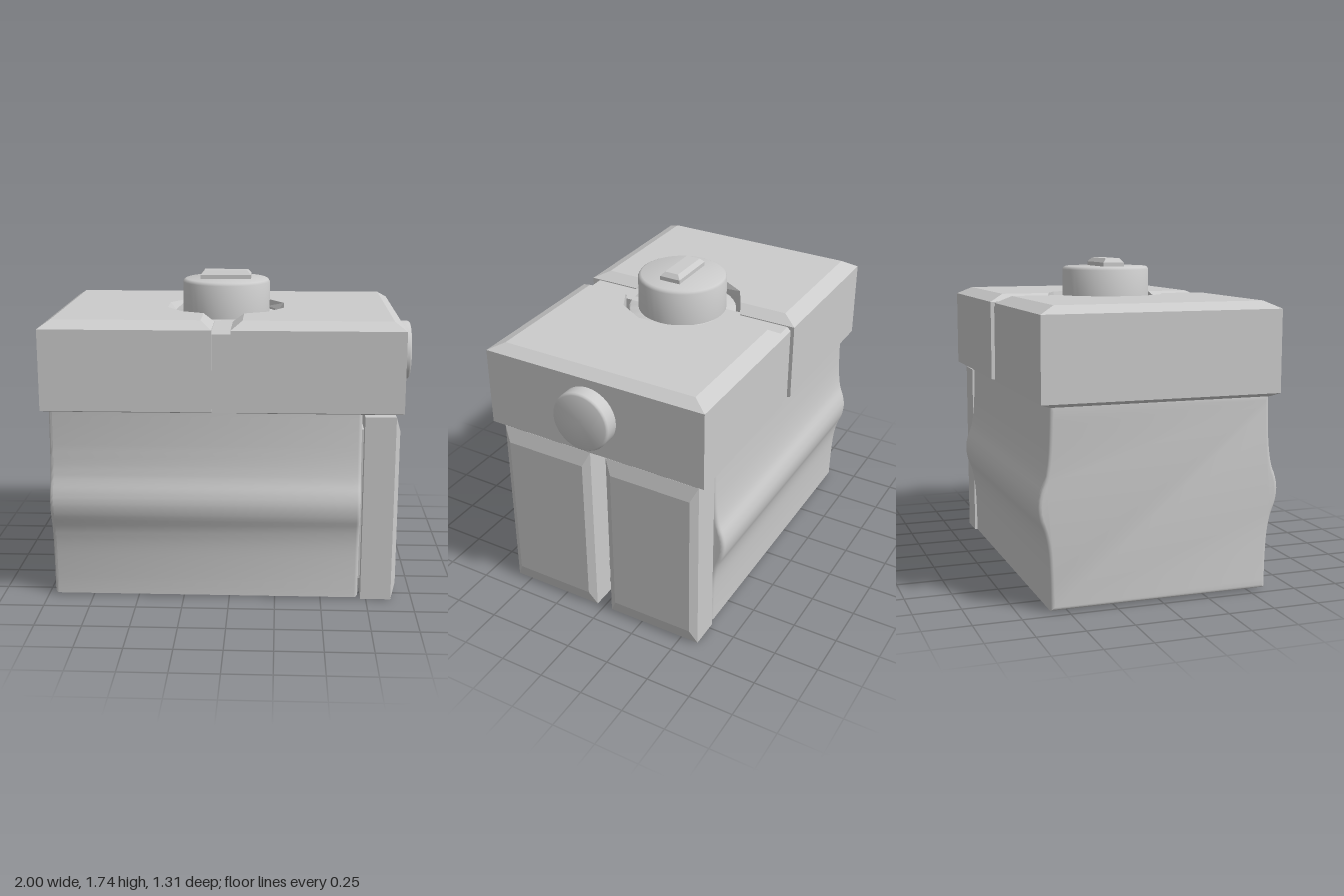
import * as THREE from 'three';
import { toCreasedNormals } from 'three/addons/utils/BufferGeometryUtils.js';

const grey = new THREE.MeshStandardMaterial({ color: 0xcccccc });
const CX = -0.04, CZ = 0.015; // axis of the top knob

// Solid through stacked outlines: rings of [x, z] points, one height per ring
function loft(rings, heights) {
  const toV = (r) => r.map(([x, z]) => new THREE.Vector2(x, -z));
  if (THREE.ShapeUtils.isClockWise(toV(rings[0]))) rings = rings.map((r) => [...r].reverse());
  const n = rings[0].length, last = rings.length - 1;
  const pos = [], idx = [];
  rings.forEach((r, k) => r.forEach(([x, z]) => pos.push(x, heights[k], z)));
  for (let k = 0; k < last; k++) {
    for (let i = 0; i < n; i++) {
      const j = (i + 1) % n, a = k * n + i, b = k * n + j;
      idx.push(a, b, b + n, a, b + n, a + n);
    }
  }
  for (const [a, b, c] of THREE.ShapeUtils.triangulateShape(toV(rings[0]), [])) idx.push(a, c, b);
  for (const t of THREE.ShapeUtils.triangulateShape(toV(rings[last]), [])) idx.push(...t.map((i) => i + last * n));
  const g = new THREE.BufferGeometry();
  g.setAttribute('position', new THREE.Float32BufferAttribute(pos, 3));
  g.setIndex(idx);
  return toCreasedNormals(g, 0.2);
}

const rect = (x0, x1, z0, z1, dx = 0, dz = dx) => [
  [x0 + dx, z0 + dz], [x1 - dx, z0 + dz], [x1 - dx, z1 - dz], [x0 + dx, z1 - dz],
];

// Round part with a small rim bevel, standing on y = 0
function knob(r, h, bevel) {
  const pts = [[0, 0], [r, 0], [r, h - bevel], [r - bevel * 0.4, h - bevel * 0.3], [r - bevel, h], [0, h]];
  return toCreasedNormals(new THREE.LatheGeometry(pts.map((p) => new THREE.Vector2(...p)), 40), 0.6);
}

// Outline of one lid half: outer edge, slot edge and the recess around the knob
function lidOutline(side, outerX, halfZ, slotX, recess) {
  const near = [[slotX, halfZ], ...recess];
  const far = near.map(([x, z]) => [x, -z]).reverse();
  return [[outerX, halfZ], ...near, ...far, [outerX, -halfZ]].map(([x, z], i, all) => {
    const isEnd = i < 2 || i > all.length - 3;
    return [CX + side * x, z + (isEnd ? -0.0025 : CZ)];
  });
}

export function createModel() {
  const model = new THREE.Group();
  const add = (name, geometry, x = 0, y = 0, z = 0) => {
    const mesh = new THREE.Mesh(geometry, grey);
    mesh.name = name;
    mesh.position.set(x, y, z);
    model.add(mesh);
    return mesh;
  };

  // Main body: bulged cross-section swept along x
  const half = [[0.592, 0.01], [0.595, 0.18], [0.604, 0.32], [0.622, 0.41], [0.647, 0.48], [0.655, 0.55],
    [0.645, 0.61], [0.62, 0.68], [0.604, 0.78], [0.596, 0.92], [0.593, 1.06]];
  const curve = new THREE.CatmullRomCurve3(half.map(([z, y]) => new THREE.Vector3(z, y, 0)));
  const side = curve.getPoints(36).map((p) => new THREE.Vector2(p.x, p.y));
  const mirrored = side.map((p) => new THREE.Vector2(-p.x, p.y)).reverse();
  const bodyGeometry = new THREE.ExtrudeGeometry(new THREE.Shape([...side, ...mirrored]), {
    depth: 1.63, bevelThickness: 0.02, bevelSize: 0.02, bevelOffset: -0.02, bevelSegments: 3, steps: 1,
  });
  bodyGeometry.rotateY(Math.PI / 2);
  add('body', toCreasedNormals(bodyGeometry, 0.6), -0.945, 0, 0);

  // Two chamfered pads on the end of the body
  for (const [z0, z1] of [[0.045, 0.59], [-0.6, -0.05]]) {
    const pad = loft([rect(-1.03, 0, z0, z1), rect(-1.03, 0, z0, z1), rect(-1.03, 0, z0, z1, 0.085, 0.04)],
      [0.72, 0.885, 0.91]);
    add('endPad', pad.rotateZ(-Math.PI / 2));
  }
  // Small links between the pads and the body
  add('padLink', new THREE.BoxGeometry(0.06, 0.04, 0.2), 0.72, 0.2, 0);
  add('padLink', new THREE.BoxGeometry(0.06, 0.03, 0.2), 0.72, 0.075, 0);
  for (const z of [0.32, -0.325]) add('padMount', new THREE.BoxGeometry(0.05, 0.85, 0.4), 0.715, 0.52, z);

  // Lid halves, x measured from the knob axis
  const wall = [[0.05, 0.335], [0.23, 0.235], [0.295, 0.09]];
  const rim = [[0.11, 0.305], [0.235, 0.24], [0.325, 0.09]];
  for (const s of [-1, 1]) {
    add('lidHalf', loft([
      lidOutline(s, 0.94, 0.59, 0.055, wall),
      lidOutline(s, 0.96, 0.643, 0.05, wall),
      lidOutline(s, 0.96, 0.643, 0.05, wall),
      lidOutline(s, 0.9, 0.56, 0.11, rim),
    ], [1.043, 1.06, 1.495, 1.535]));
  }

  // Strip filling the slot, with a disc under the knob
  const strip = [-0.12, 0.04, -0.625, 0.615];
  add('slotStrip', loft([rect(...strip), rect(...strip), rect(...strip, 0, 0.02)], [1.05, 1.47, 1.49]));
  add('knobSeat', knob(0.3, 0.44, 0.008), CX, 1.05, CZ);

  // Top knob with its raised grip
  add('topKnob', knob(0.245, 0.25, 0.018), CX, 1.44, CZ);
  const grip = [-0.183, 0.1, -0.045, 0.075];
  add('knobGrip', loft([rect(...grip), rect(...grip), rect(...grip, 0.02)], [1.68, 1.712, 1.735]));

  // Side knob
  add('sideKnob', knob(0.165, 0.09, 0.012), 0.91, 1.285, 0.02).rotation.z = -Math.PI / 2;

  return model;
}
